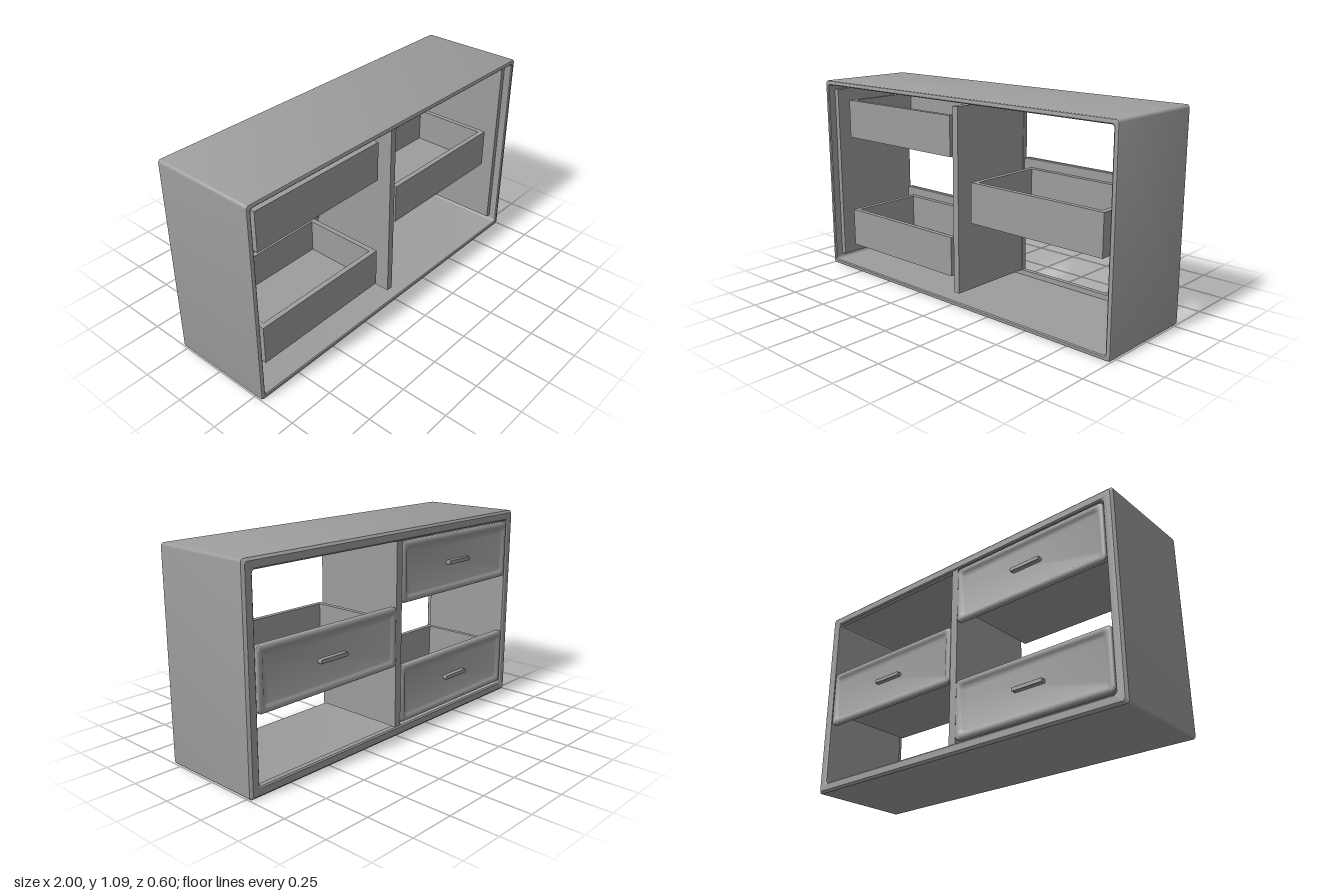
import * as THREE from 'three';
import { toCreasedNormals } from 'three/addons/utils/BufferGeometryUtils.js';

const material = new THREE.MeshStandardMaterial({ color: 0x9d9d9d });

function add(parent, name, geometry, x = 0, y = 0, z = 0) {
  const mesh = new THREE.Mesh(geometry, material);
  mesh.name = name;
  mesh.position.set(x, y, z);
  parent.add(mesh);
}

function box(parent, name, w, h, d, x, y, z) {
  add(parent, name, new THREE.BoxGeometry(w, h, d), x, y, z);
}

// Counter-clockwise rounded rectangle, always with the same number of points
function roundedRect(w, h, r, z, segments = 5) {
  const points = [];
  const corners = [[1, 1], [-1, 1], [-1, -1], [1, -1]];
  corners.forEach(([sx, sy], k) => {
    for (let i = 0; i <= segments; i++) {
      const a = (k + i / segments) * Math.PI / 2;
      points.push([sx * (w / 2 - r) + r * Math.cos(a), sy * (h / 2 - r) + r * Math.sin(a), z]);
    }
  });
  return points;
}

// Skin over rounded rectangles running toward -z; each profile entry is [inset, z].
// A closed profile makes a hollow frame, an open one a solid with flat ends.
function loft(w, h, radius, profile, closed) {
  const rings = profile.map(([inset, z]) => roundedRect(w - 2 * inset, h - 2 * inset, radius, z));
  if (closed) rings.push(rings[0]);
  const n = rings[0].length, last = (rings.length - 1) * n;
  const index = [];
  for (let i = 0; i < last; i += n) {
    for (let j = 0; j < n; j++) {
      const a = i + j, b = i + (j + 1) % n;
      index.push(a, a + n, b, b, a + n, b + n);
    }
  }
  if (!closed) {
    for (let j = 1; j < n - 1; j++) index.push(0, j, j + 1, last, last + j + 1, last + j);
  }
  const geometry = new THREE.BufferGeometry();
  geometry.setAttribute('position', new THREE.Float32BufferAttribute(rings.flat(2), 3));
  geometry.setIndex(index);
  return toCreasedNormals(geometry, 0.6);
}

function createDrawer(name, x, y) {
  const drawer = new THREE.Group();
  drawer.name = name;
  drawer.position.set(x, y, 0);

  // Inset face with a raised rounded rim around a sunken field
  add(drawer, 'drawerFace', loft(0.918, 0.316, 0.02, [
    [0.004, -0.252], [0, -0.256], [0, -0.276], [0.003, -0.281], [0.008, -0.284],
    [0.022, -0.284], [0.029, -0.281], [0.036, -0.275], [0.043, -0.272],
  ], false));

  // Open-topped tray behind the face
  const bw = 0.815, bh = 0.215, back = 0.22, front = -0.253, t = 0.028;
  const depth = back - front, mid = (back + front) / 2;
  box(drawer, 'drawerBottom', bw - 2 * t, t, depth - 2 * t, 0, -bh / 2 + t / 2, mid);
  for (const s of [-1, 1]) {
    box(drawer, 'drawerSide', t, bh, depth, s * (bw - t) / 2, 0, mid);
    box(drawer, 'drawerEnd', bw - 2 * t, bh, t, 0, 0, mid + s * (depth - t) / 2);
  }

  add(drawer, 'handle', loft(0.18, 0.021, 0.006, [[0, -0.27], [0, -0.2955], [0.0015, -0.297]], false));
  return drawer;
}

export function createModel() {
  const model = new THREE.Group();
  model.name = 'drawerCabinet';
  const width = 2, height = 1.092, mid = height / 2;

  // Thin hollow shell, open at +z, with a thicker frame around the drawer side
  add(model, 'cabinetShell', loft(width, height, 0.015, [
    [0.01, 0.3], [0.003, 0.297], [0, 0.29], [0, -0.271], [0.012, -0.283],
    [0.046, -0.283], [0.053, -0.277], [0.053, -0.25], [0.025, -0.25], [0.025, 0.295], [0.02, 0.3],
  ], true), 0, mid, 0);

  // Inner side panels and upright, ending short of the open side
  const panelHeight = height - 0.106, panelDepth = 0.507;
  for (const s of [-1, 1]) {
    box(model, 'sidePanel', 0.03, panelHeight, panelDepth, s * 0.962, mid, 0.0015);
  }
  box(model, 'divider', 0.036, panelHeight, panelDepth, -0.003, mid, 0.0015);
  box(model, 'frameUpright', 0.042, panelHeight + 0.004, 0.027, -0.003, mid, -0.2635);

  // Staggered drawers
  model.add(createDrawer('upperDrawer', -0.484, 0.873));
  model.add(createDrawer('middleDrawer', 0.479, 0.549));
  model.add(createDrawer('lowerDrawer', -0.484, 0.225));
  return model;
}
